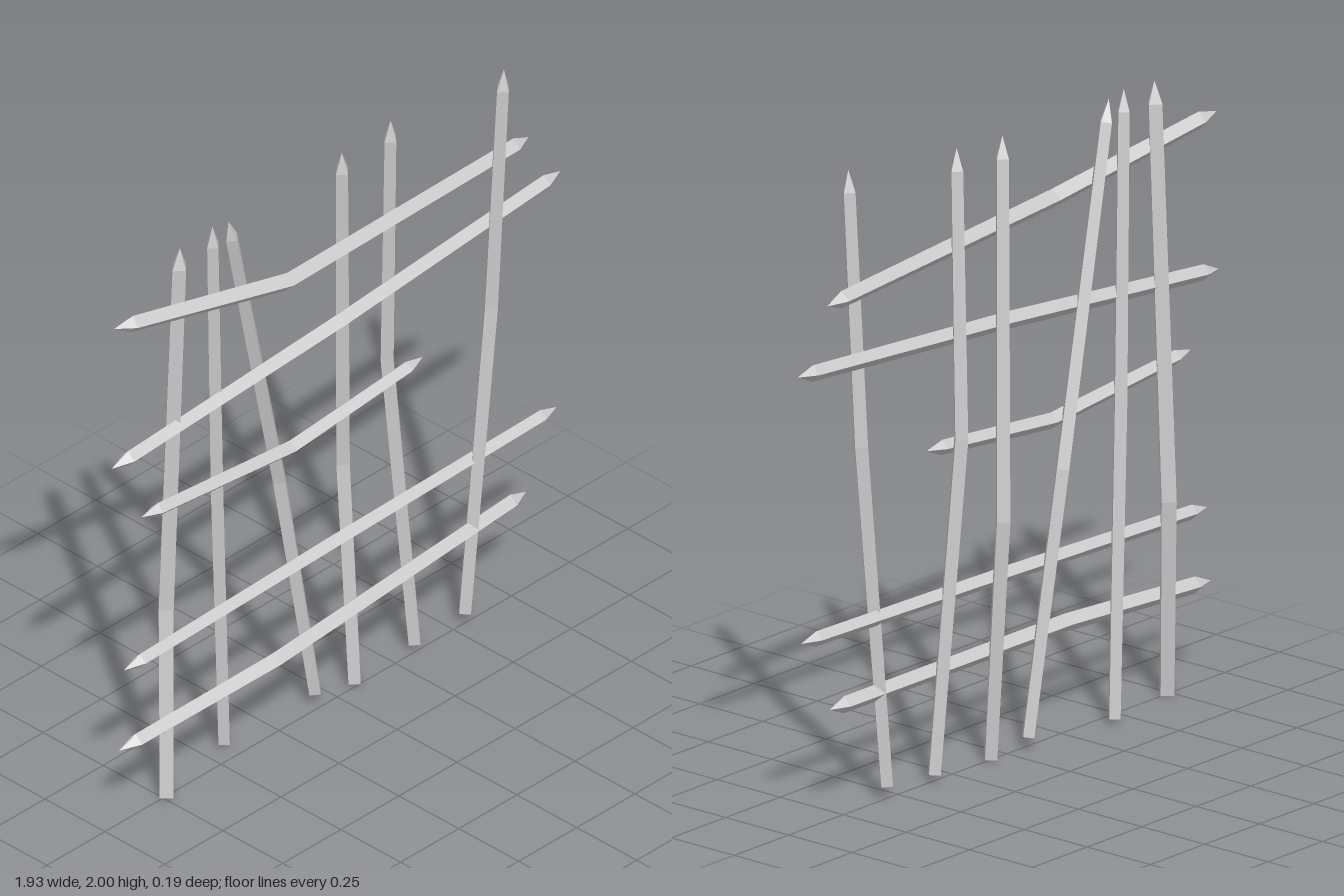
import * as THREE from 'three';

const V = (p) => new THREE.Vector3(...p);
const TIP = 0.07; // length of a sharpened point

// Square-section stick along a path, one ridge facing the front; ends are sharpened or sawn flat.
function stick(name, path, radius, pointedStart, material) {
  const pts = path.map(V);
  const n = pts.length;
  const dirs = pts.map((p, i) =>
    pts[Math.min(i + 1, n - 1)].clone().sub(pts[Math.max(i - 1, 0)]).normalize());
  const stations = [];
  pts.forEach((p, i) => {
    const d = dirs[i];
    const r = i > 0 && i < n - 1 ? radius * 1.1 : radius;
    if (i === 0 && pointedStart) {
      stations.push({ p, d, r: 0 }, { p: p.clone().addScaledVector(d, TIP), d, r });
    } else if (i === n - 1) {
      stations.push({ p: p.clone().addScaledVector(d, -TIP), d, r }, { p, d, r: 0 });
    } else {
      if (i === 0) stations.push({ p, d, r: 0 }); // flat cap centre
      stations.push({ p, d, r });
    }
  });

  const rings = stations.map(({ p, d, r }) => {
    const u = new THREE.Vector3(0, 0, 1).addScaledVector(d, -d.z).normalize();
    const v = new THREE.Vector3().crossVectors(d, u);
    return [0, 1, 2, 3].map((k) => p.clone()
      .addScaledVector(u, r * Math.cos(k * Math.PI / 2))
      .addScaledVector(v, r * Math.sin(k * Math.PI / 2)));
  });

  const tris = [];
  for (let i = 0; i < rings.length - 1; i++) {
    for (let k = 0; k < 4; k++) {
      const a = rings[i][k], b = rings[i][(k + 1) % 4];
      const c = rings[i + 1][(k + 1) % 4], e = rings[i + 1][k];
      if (stations[i].r > 0) tris.push(a, b, c);
      if (stations[i + 1].r > 0) tris.push(a, c, e);
      else if (stations[i].r === 0) tris.push(a, b, e);
    }
  }
  const geometry = new THREE.BufferGeometry().setFromPoints(tris);
  geometry.computeVertexNormals();
  const mesh = new THREE.Mesh(geometry, material);
  mesh.name = name;
  return mesh;
}

// Upright stakes: path from the sawn foot to the sharpened top
const STAKES = [
  [0.029, [[-0.735, 0.005, 0], [-0.685, 0.64, -0.05], [-0.677, 1.96, 0]]],
  [0.024, [[-0.425, 0.02, -0.06], [-0.482, 1, -0.035], [-0.537, 1.97, 0]]],
  [0.024, [[-0.07, 0.045, -0.025], [-0.198, 0.865, -0.05], [-0.468, 1.955, 0]]],
  [0.026, [[0.085, 0.013, -0.01], [0.095, 0.78, -0.068], [0.02, 1.965, 0]]],
  [0.025, [[0.343, 0.03, -0.01], [0.266, 1.08, -0.05], [0.23, 1.98, 0]]],
  [0.025, [[0.55, 0.045, 0], [0.627, 1.13, 0.035], [0.64, 2, 0.075]]],
];

// Cross rails: sharpened at both ends, from -x to +x
const RAILS = [
  [0.028, [[-0.95, 1.795, -0.01], [-0.283, 1.675, 0.062], [0.823, 1.63, 0]]],
  [0.026, [[-0.96, 1.293, -0.01], [0, 1.37, 0.01], [0.96, 1.44, 0]]],
  [0.024, [[-0.843, 1.065, 0], [-0.2, 1.005, 0], [0.368, 1.055, 0]]],
  [0.024, [[-0.918, 0.547, 0], [0, 0.573, 0], [0.944, 0.593, 0]]],
  [0.027, [[-0.97, 0.295, 0.03], [-0.33, 0.32, 0.055], [0.812, 0.35, 0]]],
];

export function createModel() {
  const model = new THREE.Group();
  model.name = 'stickLattice';
  const material = new THREE.MeshStandardMaterial({ color: 0xcccccc, flatShading: true });
  STAKES.forEach(([r, path], i) => model.add(stick(`stake${i + 1}`, path, r, false, material)));
  RAILS.forEach(([r, path], i) => model.add(stick(`rail${i + 1}`, path, r, true, material)));
  return model;
}
